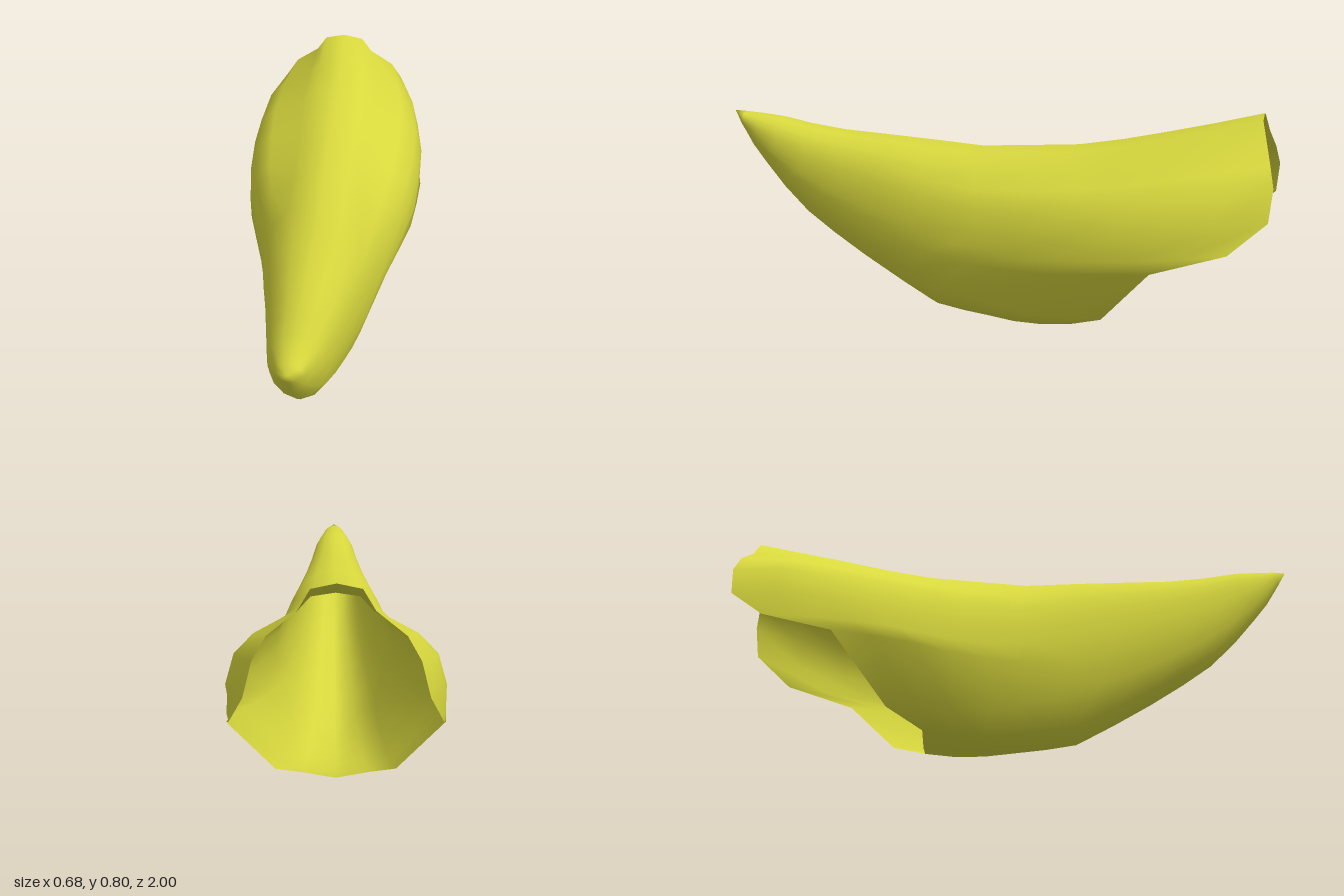
import * as THREE from 'three';
import { mergeVertices } from 'three/addons/utils/BufferGeometryUtils.js';

// Profiles along the length, as [z, value] from tip to back
const TOP = [[1, 0.74], [0.83, 0.73], [0.7, 0.705], [0.55, 0.685], [0.3, 0.67], [0, 0.648],
  [-0.15, 0.66], [-0.32, 0.67], [-0.5, 0.7], [-0.75, 0.755], [-0.95, 0.805], [-1, 0.81]];
const BOTTOM = [[1, 0.74], [0.93, 0.62], [0.85, 0.52], [0.73, 0.38], [0.55, 0.25], [0.38, 0.145],
  [0.19, 0.04], [0, 0.015], [-0.17, 0.003], [-0.33, 0.03], [-0.45, 0.045], [-1, 0.05]];
const WIDTH = [[1, 0], [0.95, 0.04], [0.82, 0.082], [0.55, 0.125], [0.3, 0.165], [0.15, 0.195],
  [0, 0.215], [-0.2, 0.267], [-0.4, 0.322], [-0.64, 0.342], [-0.88, 0.31], [-0.99, 0.262], [-1, 0.255]];

// Half cross-sections from crest to keel: [fraction of half width, fraction of depth]
const FRONT = [[0, 0], [0.4, 0.03], [0.7, 0.1], [0.88, 0.19], [0.97, 0.29], [1, 0.4],
  [0.99, 0.5], [0.95, 0.6], [0.8, 0.78], [0.45, 0.93], [0, 1]];
const BACK = [[0, 0], [0.26, 0.02], [0.4, 0.1], [0.74, 0.19], [0.92, 0.28], [1, 0.42],
  [1, 0.54], [1, 0.605], [0.61, 0.91], [0.38, 0.97], [0, 1]];
// z of the open back rim at each of those points
const RIM = [-0.95, -0.95, -0.965, -0.985, -1, -0.99, -0.87, -0.63, -0.45, -0.33, -0.33];

function sample(table, z) {
  for (let i = 1; i < table.length; i++) {
    const [z0, a] = table[i - 1], [z1, b] = table[i];
    if (z >= z1) return a + (b - a) * (z0 - z) / (z0 - z1);
  }
  return table[table.length - 1][1];
}

function shellPoint(j, side, s) {
  const z = 1 + (RIM[j] - 1) * s;
  const blend = THREE.MathUtils.smoothstep(-z, -0.3, 0.45);
  const fx = THREE.MathUtils.lerp(FRONT[j][0], BACK[j][0], blend);
  const fy = THREE.MathUtils.lerp(FRONT[j][1], BACK[j][1], blend);
  const top = sample(TOP, z);
  return [side * fx * sample(WIDTH, z), top + (sample(BOTTOM, z) - top) * fy, z];
}

export function createModel() {
  const group = new THREE.Group();
  group.name = 'curvedShell';

  // Closed rings lofted from the pointed tip to the uneven open rim
  const half = RIM.length - 1, around = half * 2;
  const steps = [0, 0.025, 0.06, 0.1, 0.16, 0.23, 0.31, 0.4, 0.5, 0.6, 0.68, 0.76, 0.84, 0.92, 1];
  const positions = [], index = [];
  steps.forEach((s, k) => {
    for (let i = 0; i < around; i++) {
      positions.push(...shellPoint(i <= half ? i : around - i, i <= half ? 1 : -1, s));
      if (k === steps.length - 1) continue;
      const n = (i + 1) % around;
      const a = k * around + i, b = k * around + n, c = a + around, d = b + around;
      if (k > 0) index.push(a, b, c);
      index.push(b, d, c);
    }
  });
  let geometry = new THREE.BufferGeometry();
  geometry.setAttribute('position', new THREE.Float32BufferAttribute(positions, 3));
  geometry.setIndex(index);
  geometry = mergeVertices(geometry, 1e-5);
  geometry.computeVertexNormals();

  const shell = new THREE.Mesh(geometry,
    new THREE.MeshStandardMaterial({ color: 0xd8d83e, side: THREE.DoubleSide }));
  shell.name = 'shell';
  group.add(shell);
  return group;
}
